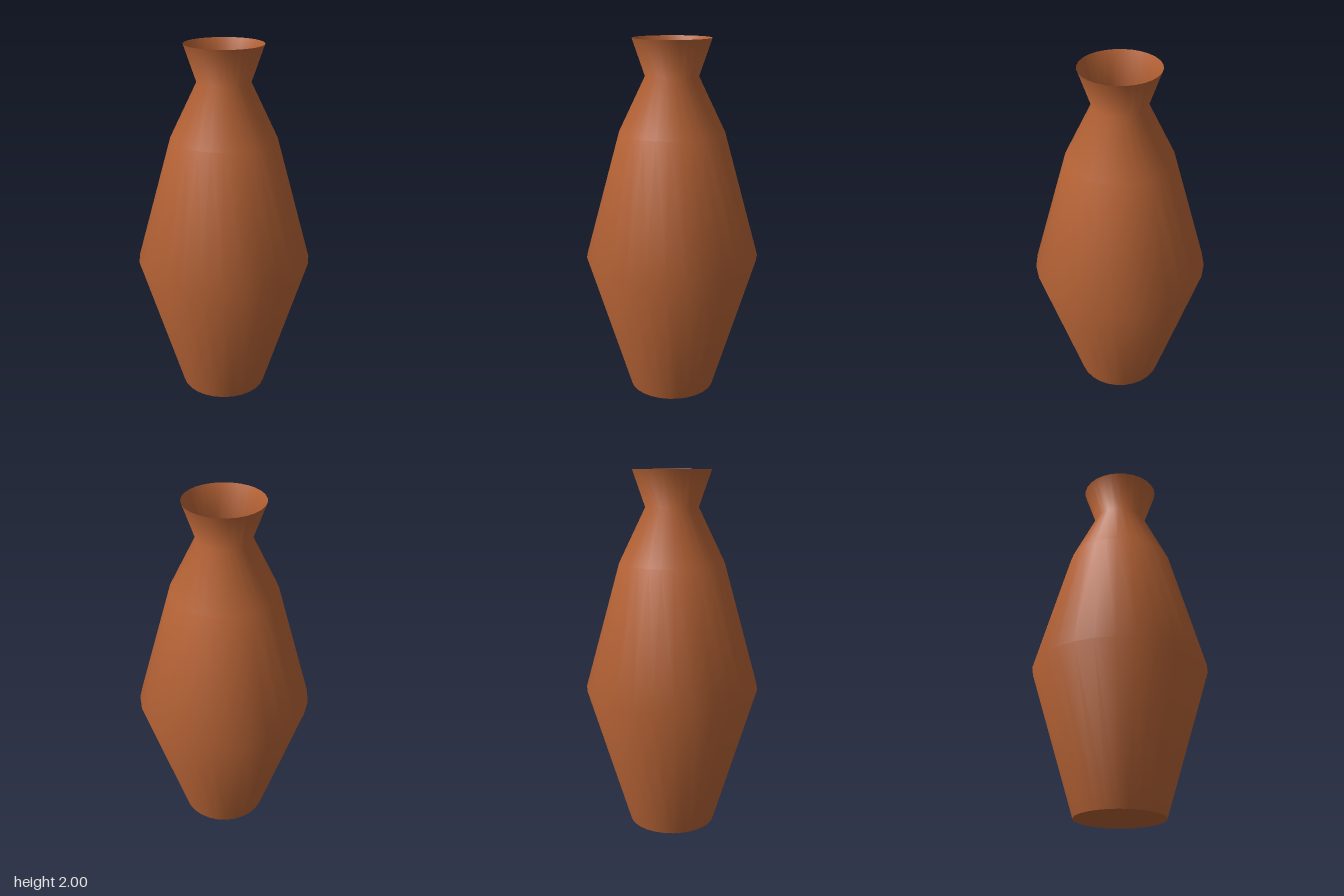
import * as THREE from 'three';

const SIDES = 28;

export function createModel() {
  const model = new THREE.Group();
  model.name = 'vase';

  const terracotta = new THREE.MeshStandardMaterial({ color: 0xb86436, side: THREE.DoubleSide });
  terracotta.name = 'terracotta';

  // Thin open wall: foot, belly, shoulder, neck and flared rim
  const profile = [
    [0.242, 0], [0.484, 0.8], [0.29, 1.5], [0.145, 1.8], [0.214, 2],
  ].map(([r, y]) => new THREE.Vector2(r, y));
  const wall = new THREE.Mesh(new THREE.LatheGeometry(profile, SIDES), terracotta);
  wall.name = 'wall';
  model.add(wall);

  // Flat base, also visible through the mouth
  const base = new THREE.Mesh(new THREE.CircleGeometry(profile[0].x, SIDES).rotateX(Math.PI / 2), terracotta);
  base.name = 'base';
  model.add(base);

  return model;
}
